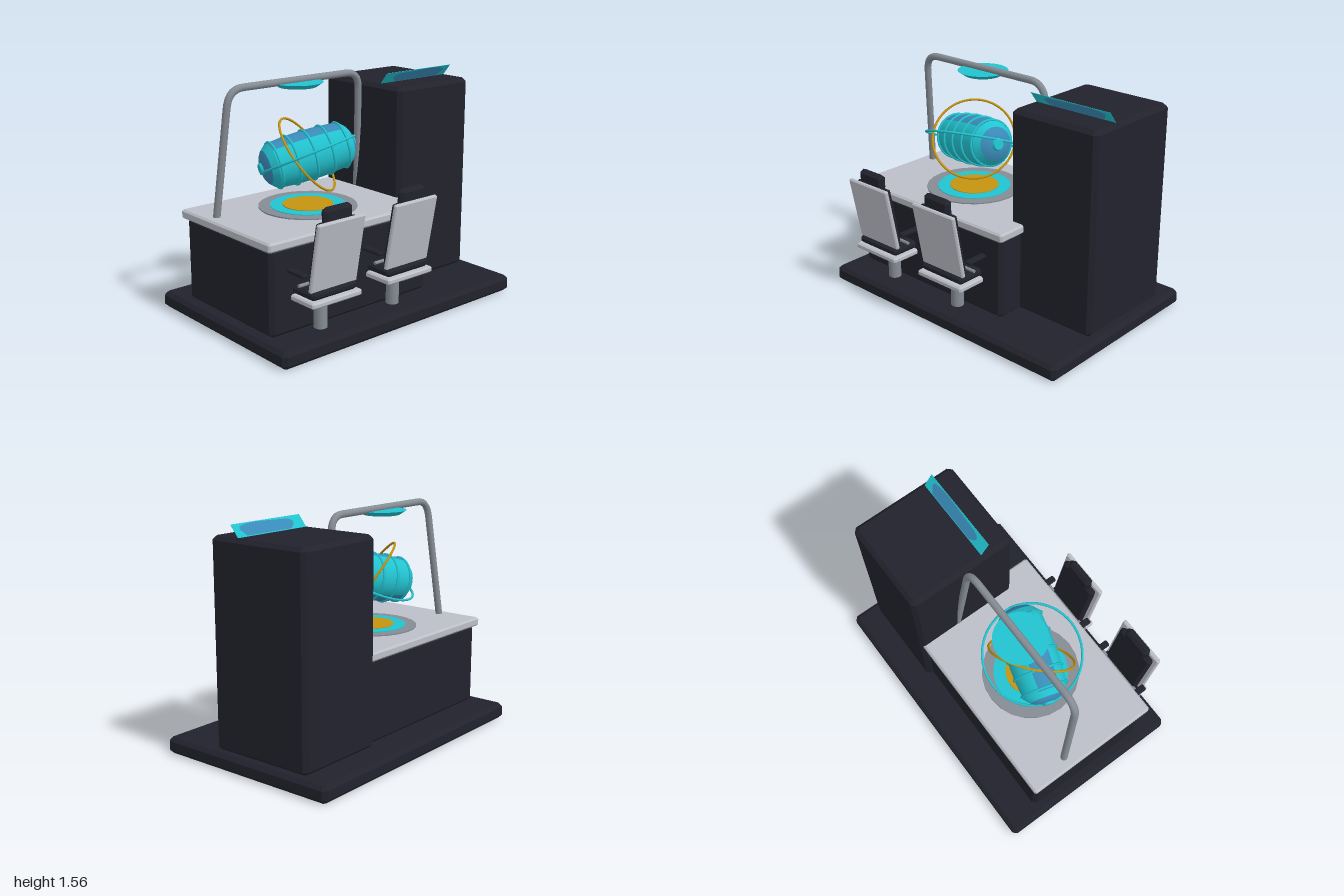
import * as THREE from 'three';

const mat = (name, color, side = THREE.FrontSide) => {
  const m = new THREE.MeshStandardMaterial({ color, side });
  m.name = name;
  return m;
};

export function createModel() {
  const dark = mat('charcoal', 0x22222d);
  const light = mat('pale grey', 0xbcbfc7);
  const steel = mat('steel grey', 0x858c94);
  const teal = mat('bright teal', 0x22c3d0, THREE.DoubleSide);
  const blue = mat('glass blue', 0x3a8cba, THREE.DoubleSide);
  const gold = mat('gold', 0xc4930f);

  const model = new THREE.Group();
  model.name = 'controlStation';

  const add = (parent, name, geo, material, x = 0, y = 0, z = 0) => {
    const mesh = new THREE.Mesh(geo, material);
    mesh.name = name;
    mesh.position.set(x, y, z);
    parent.add(mesh);
    return mesh;
  };

  // Box with chamfered edges, centred on its own middle
  const chamferBox = (w, h, d, c) => {
    const a = w / 2, b = d / 2;
    const pts = [[a, -b + c], [a, b - c], [a - c, b], [-a + c, b], [-a, b - c], [-a, -b + c], [-a + c, -b], [a - c, -b]];
    const shape = new THREE.Shape(pts.map(p => new THREE.Vector2(...p)));
    const geo = new THREE.ExtrudeGeometry(shape, {
      depth: h - 2 * c, bevelEnabled: true, bevelSegments: 1, bevelSize: c, bevelThickness: c, bevelOffset: -c,
    });
    return geo.translate(0, 0, -(h - 2 * c) / 2).rotateX(-Math.PI / 2);
  };

  // Chamfered box given by its limits
  const block = (name, x0, x1, y0, y1, z0, z1, c, material) =>
    add(model, name, chamferBox(x1 - x0, y1 - y0, z1 - z0, c), material, (x0 + x1) / 2, (y0 + y1) / 2, (z0 + z1) / 2);

  // Platform, cabinet and desk
  block('platform', -1, 1, 0, 0.11, -0.69, 0.65, 0.025, dark);
  block('cabinet', 0.29, 0.95, 0.105, 1.465, -0.505, 0.245, 0.027, dark);
  block('deskBody', -0.925, 0.38, 0.105, 0.67, -0.465, 0.43, 0.025, dark);
  block('deskTop', -0.95, 0.405, 0.66, 0.72, -0.49, 0.455, 0.012, light);

  // Tilted screen on the cabinet, leaning towards the front
  const screen = new THREE.Group();
  screen.name = 'screen';
  screen.position.set(0.622, 1.502, 0.06);
  screen.rotation.x = Math.atan2(0.06, 0.075);
  model.add(screen);
  add(screen, 'screenPanel', new THREE.BoxGeometry(0.605, 0.096, 0.002), teal);
  const patch = new THREE.Shape();
  patch.moveTo(-0.17, -0.042);
  patch.quadraticCurveTo(-0.26, 0.01, -0.17, 0.03);
  patch.lineTo(0.1, 0.044);
  patch.quadraticCurveTo(0.28, 0.04, 0.25, 0);
  patch.lineTo(0.22, -0.042);
  for (const z of [-0.002, 0.002]) add(screen, 'screenGlass', new THREE.ShapeGeometry(patch, 6), blue, 0, 0, z);

  // Arched tube over the desk
  const cx = -0.28, cz = -0.02;
  const V = (x, y, z) => new THREE.Vector3(x, y, z);
  const arch = new THREE.CurvePath();
  const side = s => ({
    foot: V(cx + s * 0.59, 0.71, -0.2), knee: V(cx + s * 0.538, 1.42, -0.127),
    corner: V(cx + s * 0.53, 1.537, -0.115), top: V(cx + s * 0.42, 1.537, -0.115),
  });
  const L = side(-1), R = side(1);
  arch.add(new THREE.LineCurve3(L.foot, L.knee));
  arch.add(new THREE.QuadraticBezierCurve3(L.knee, L.corner, L.top));
  arch.add(new THREE.LineCurve3(L.top, R.top));
  arch.add(new THREE.QuadraticBezierCurve3(R.top, R.corner, R.knee));
  arch.add(new THREE.LineCurve3(R.knee, R.foot));
  add(model, 'arch', new THREE.TubeGeometry(arch, 90, 0.024, 12), steel);

  // Round emitter hanging from the arch
  add(model, 'emitterDisc', new THREE.CylinderGeometry(0.17, 0.125, 0.03, 24), teal, -0.275, 1.51, -0.115);

  // Stacked discs on the desk
  [['baseDisc', 0.325, 0.008, steel], ['tealDisc', 0.25, 0.012, teal], ['goldDisc', 0.168, 0.016, gold]]
    .forEach(([name, r, h, m]) => add(model, name, new THREE.CylinderGeometry(r, r, h, 24), m, -0.275, 0.72 + h / 2, cz));

  // Floating capsule, its length along its own y axis
  const capsule = new THREE.Group();
  capsule.name = 'capsule';
  capsule.position.set(-0.275, 1.06, cz);
  capsule.quaternion.setFromUnitVectors(V(0, 1, 0), V(0.94, 0.19, 0.28).normalize());
  model.add(capsule);
  const lathe = (pts, start = 0, len = Math.PI * 2, n = 24) =>
    new THREE.LatheGeometry(pts.map(p => new THREE.Vector2(...p)), n, start, len);
  const hull = [[0.148, -0.25], [0.16, -0.12], [0.163, 0], [0.16, 0.12], [0.148, 0.25]];
  // Alternating teal and blue hull panels
  [[teal, 0, 1.3], [blue, 1.3, 0.85], [teal, 2.15, 1.9], [blue, 4.05, 0.95], [teal, 5.0, Math.PI * 2 - 5]]
    .forEach(([m, start, len]) => add(capsule, 'hullPanel', lathe(hull, start, len, 8), m));
  // Hoops around the hull
  for (const [y, r] of [[-0.235, 0.152], [-0.12, 0.162], [0, 0.165], [0.12, 0.162], [0.235, 0.152]]) {
    const hoop = add(capsule, 'hoop', new THREE.TorusGeometry(r, 0.009, 6, 32), teal, 0, y, 0);
    hoop.rotation.x = Math.PI / 2;
  }
  // Domed ends with a small button
  for (const s of [1, -1]) {
    const end = new THREE.Group();
    end.name = 'capsuleEnd';
    if (s < 0) end.rotation.x = Math.PI;
    capsule.add(end);
    add(end, 'shoulder', lathe([[0.148, 0.25], [0.113, 0.29]]), teal);
    add(end, 'dome', lathe([[0.113, 0.29], [0.085, 0.308], [0.045, 0.32], [0, 0.324]]), blue);
    add(end, 'button', new THREE.CylinderGeometry(0.035, 0.045, 0.02, 16), teal, 0, 0.325, 0);
  }

  // Two thin rings around the capsule
  const ring = (name, r, normal, m) => {
    const t = add(model, name, new THREE.TorusGeometry(r, 0.008, 8, 64), m, -0.275, 1.065, cz);
    t.quaternion.setFromUnitVectors(V(0, 0, 1), normal.normalize());
  };
  ring('tealRing', 0.325, V(-0.154, 0.908, -0.39), teal);
  ring('goldRing', 0.28, V(0.5, 0.61, 0.62), gold);

  // Chairs facing the desk
  for (const x of [-0.58, 0.03]) {
    const chair = new THREE.Group();
    chair.name = 'chair';
    chair.position.set(x, 0, 0.47);
    model.add(chair);
    add(chair, 'pedestal', new THREE.CylinderGeometry(0.043, 0.043, 0.27, 20), steel, 0, 0.195, 0);
    add(chair, 'pedestalCollar', new THREE.CylinderGeometry(0.05, 0.05, 0.06, 20), steel, 0, 0.295, 0);
    add(chair, 'seatPlate', chamferBox(0.39, 0.04, 0.34, 0.01), light, 0, 0.34, 0);
    add(chair, 'seatCushion', chamferBox(0.36, 0.055, 0.3, 0.018), dark, 0, 0.388, 0);

    // Reclined back
    const back = new THREE.Group();
    back.name = 'chairBack';
    back.position.set(0, 0.4, 0.11);
    back.rotation.x = 0.185;
    chair.add(back);
    add(back, 'backShell', chamferBox(0.365, 0.45, 0.03, 0.008), light, 0, 0.235, 0.005);
    add(back, 'backCushion', chamferBox(0.31, 0.42, 0.05, 0.018), dark, 0, 0.235, -0.032);
    add(chair, 'headrest', chamferBox(0.22, 0.11, 0.058, 0.022), dark, 0, 0.875, 0.157);

    // Arms and cross bar
    for (const s of [-1, 1]) add(chair, 'armrest', chamferBox(0.045, 0.025, 0.24, 0.007), dark, s * 0.2, 0.517, -0.01);
    const bar = add(chair, 'crossBar', new THREE.CylinderGeometry(0.011, 0.011, 0.44, 10), steel, 0, 0.45, 0.065);
    bar.rotation.z = Math.PI / 2;
  }

  return model;
}
